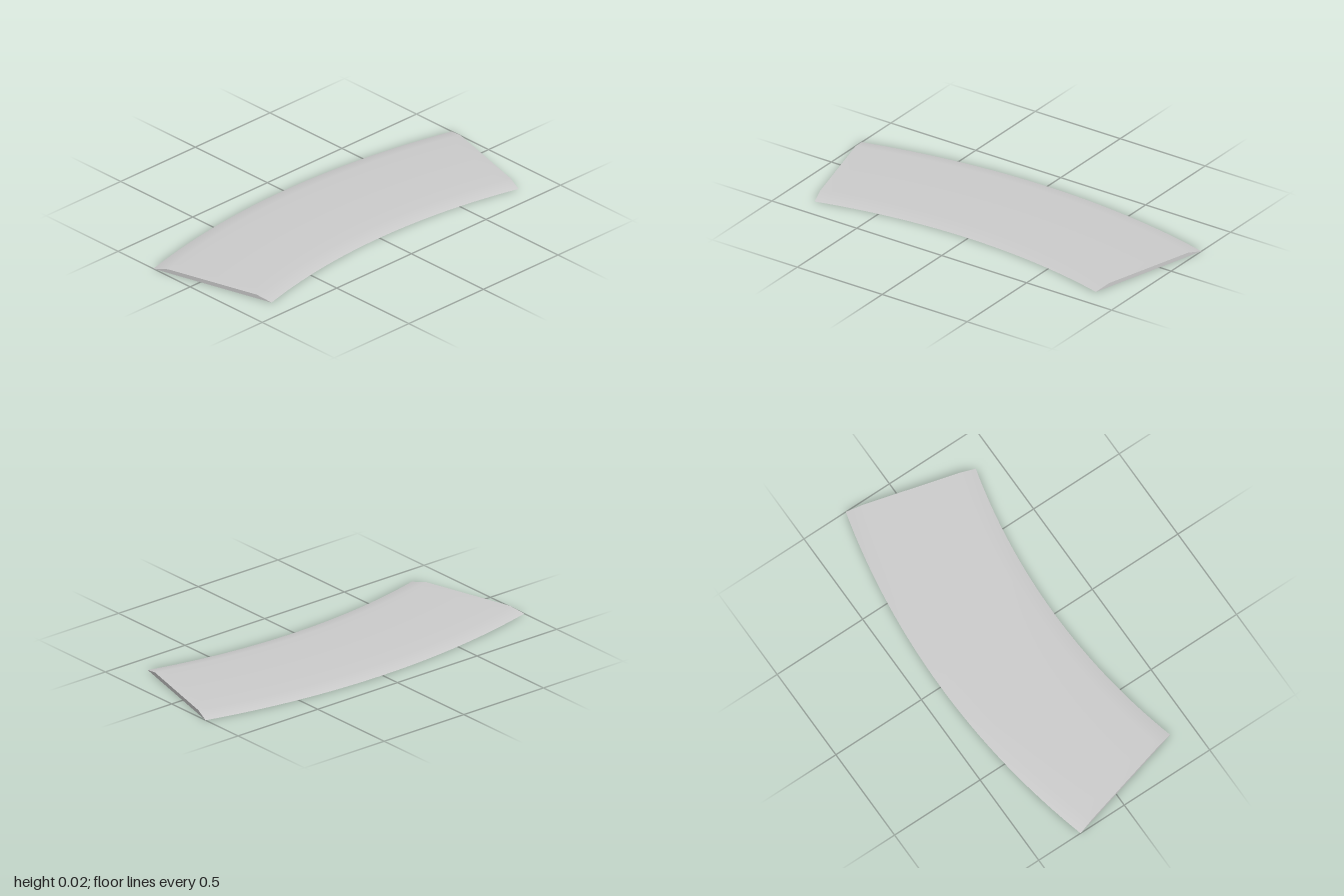
import * as THREE from 'three';

const OUTER = 3.864, INNER = 3.199, BEVEL = 0.083, HEIGHT = 0.02;
const CENTRE_X = 3.477, HALF_ANGLE = Math.PI / 12, STEPS = 32;

// Point on the curved strip at a given radius, height and angle
const place = ([r, y], a) => [CENTRE_X - r * Math.cos(a), y, r * Math.sin(a)];

function geometry(points, index) {
  const g = new THREE.BufferGeometry();
  g.setAttribute('position', new THREE.Float32BufferAttribute(points.flat(), 3));
  g.setIndex(index);
  g.computeVertexNormals();
  return g;
}

// Sweep a line of [radius, height] points along the arc
function sweep(profile) {
  const points = [], index = [], n = profile.length;
  for (let i = 0; i <= STEPS; i++) {
    const a = HALF_ANGLE * (2 * i / STEPS - 1);
    profile.forEach(p => points.push(place(p, a)));
    if (i === STEPS) break;
    for (let j = 0; j < n - 1; j++) {
      const k = i * n + j;
      index.push(k, k + n, k + 1, k + 1, k + n, k + n + 1);
    }
  }
  return geometry(points, index);
}

export function createModel() {
  const group = new THREE.Group();
  group.name = 'curvedStrip';
  const material = new THREE.MeshStandardMaterial({ color: 0xcccccc });
  const add = (name, geo) => {
    const mesh = new THREE.Mesh(geo, material);
    mesh.name = name;
    group.add(mesh);
  };

  // Trapezoid section, from the outer foot over the top to the inner foot
  const section = [[OUTER, 0], [OUTER - BEVEL, HEIGHT], [INNER + BEVEL, HEIGHT], [INNER, 0]];

  // Softly shaded top with sloping edges, and flat underside
  add('topSurface', sweep(section));
  add('underside', sweep([section[3], section[0]]));

  // Flat radial ends
  add('frontEnd', geometry(section.map(p => place(p, HALF_ANGLE)), [0, 3, 2, 0, 2, 1]));
  add('backEnd', geometry(section.map(p => place(p, -HALF_ANGLE)), [0, 1, 2, 0, 2, 3]));
  return group;
}
